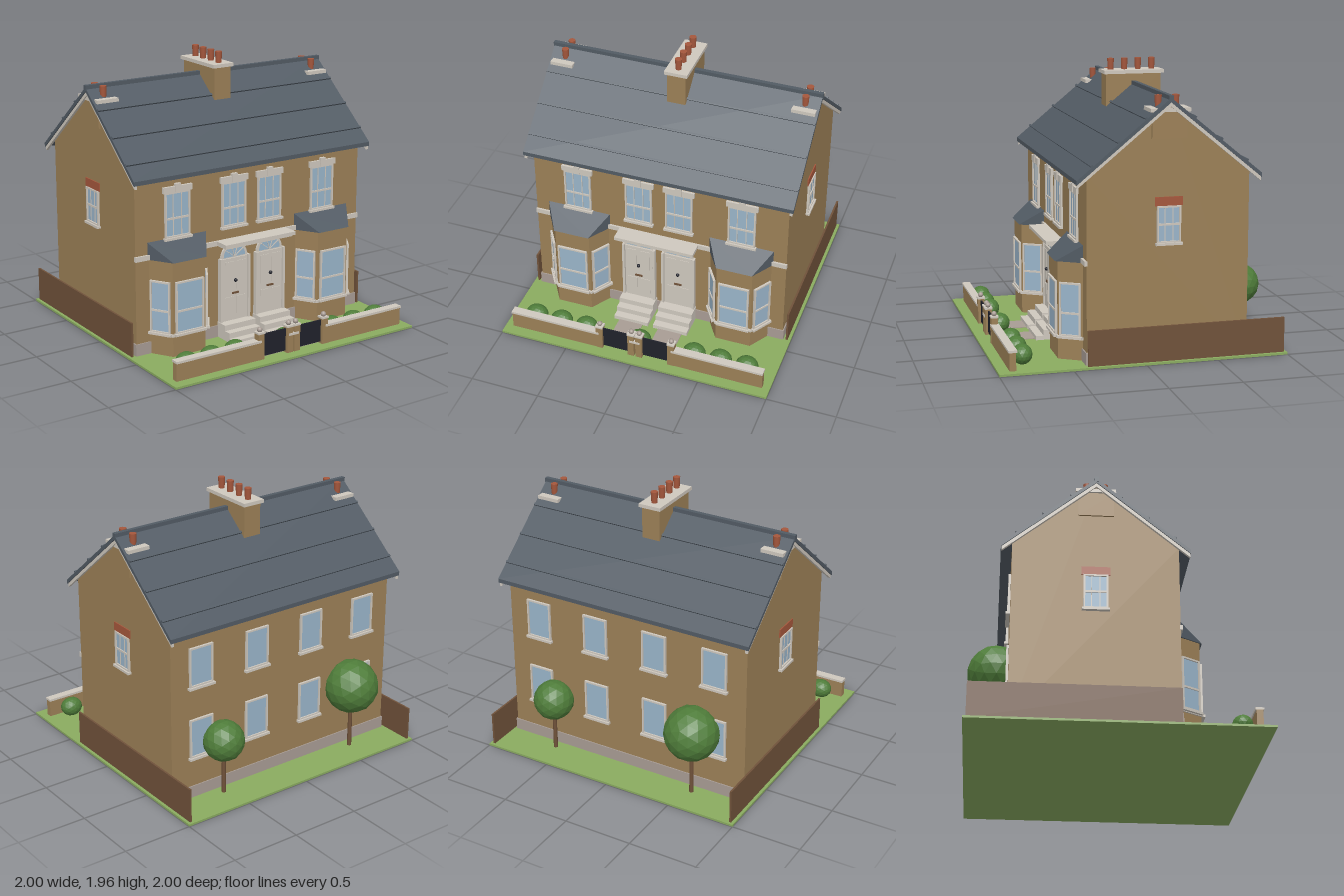
import * as THREE from 'three';
import { ConvexGeometry } from 'three/addons/geometries/ConvexGeometry.js';

const mat = (name, color) => {
  const m = new THREE.MeshStandardMaterial({ color });
  m.name = name;
  return m;
};
const M = {
  brick: mat('brick', 0x9c8057), slate: mat('slate', 0x525b64), stone: mat('stone', 0xcfc8be),
  glass: mat('glass', 0x9ab5ca), grass: mat('grass', 0x8aab60), path: mat('paving', 0xa89c94),
  wood: mat('wood', 0x70523a), leaf: mat('leaf', 0x4f7d3a), clay: mat('terracotta', 0xa5573c),
  iron: mat('iron', 0x20222b),
};
M.leaf.flatShading = true;

const RIDGE_Z = -0.16, RIDGE_Y = 1.79, PITCH = 0.82, EAVE = 0.635;

function add(parent, name, geo, material, x = 0, y = 0, z = 0) {
  const mesh = new THREE.Mesh(geo, material);
  mesh.name = name;
  mesh.position.set(x, y, z);
  parent.add(mesh);
  return mesh;
}

// Box given by its minimum and maximum on each axis
function box(parent, name, material, x0, x1, y0, y1, z0, z1) {
  return add(parent, name, new THREE.BoxGeometry(x1 - x0, y1 - y0, z1 - z0), material,
    (x0 + x1) / 2, (y0 + y1) / 2, (z0 + z1) / 2);
}

const shapeOf = (pts) => new THREE.Shape(pts.map(([a, b]) => new THREE.Vector2(a, b)));
const extrude = (shape, depth) =>
  new THREE.ExtrudeGeometry(shape, { depth, bevelEnabled: false, curveSegments: 16 });

// Side profile (z, y) stretched along x, centred on x
function alongX(parent, name, material, pts, width, x = 0) {
  const geo = extrude(shapeOf(pts), width).translate(0, 0, -width / 2).rotateY(-Math.PI / 2);
  return add(parent, name, geo, material, x);
}

// Inverted V band following both roof slopes
function chevron(top, thick, reach) {
  const drop = reach * PITCH, z = RIDGE_Z;
  return [[z - reach, top - drop], [z - reach, top - drop - thick], [z, top - thick],
    [z + reach, top - drop - thick], [z + reach, top - drop], [z, top]];
}

// Window facing +z with its sill at the origin
function sashWindow(parent, name, w, h, cols, rail, pos, turn = 0) {
  const g = new THREE.Group();
  g.name = name;
  const a = w / 2, b = a - 0.012;
  const frame = shapeOf([[-a, 0], [a, 0], [a, h], [-a, h]]);
  frame.holes.push(shapeOf([[-b, 0.012], [-b, h - 0.012], [b, h - 0.012], [b, 0.012]]));
  add(g, 'frame', extrude(frame, 0.016), M.stone);
  box(g, 'glass', M.glass, -b, b, 0.01, h - 0.01, 0, 0.006);
  for (let i = 1; i < cols; i++) {
    const x = -a + (w * i) / cols;
    box(g, 'glazingBar', M.stone, x - 0.003, x + 0.003, 0.01, h - 0.01, 0, 0.01);
  }
  if (rail) box(g, 'meetingRail', M.stone, -b, b, h * rail - 0.007, h * rail + 0.007, 0, 0.013);
  box(g, 'sill', M.stone, -a - 0.01, a + 0.01, -0.015, 0.002, 0, 0.028);
  g.position.set(...pos);
  g.rotation.y = turn;
  parent.add(g);
  return g;
}

function pot(parent, x, y0, y1, z) {
  add(parent, 'chimneyPot', new THREE.CylinderGeometry(0.025, 0.021, y1 - y0, 12), M.clay, x, (y0 + y1) / 2, z);
}

function bayWindow(parent, cx) {
  const g = new THREE.Group();
  g.name = 'bayWindow';
  g.position.x = cx;
  const layer = (name, material, y0, y1, e) => {
    const pts = [[-0.23 - e, -0.39], [-0.13 - e * 0.6, -0.55 - e], [0.13 + e * 0.6, -0.55 - e], [0.23 + e, -0.39]];
    add(g, name, extrude(shapeOf(pts), y1 - y0).rotateX(-Math.PI / 2), material, 0, y0);
  };
  layer('bayWall', M.brick, 0.015, 0.69, 0);
  layer('baySill', M.stone, 0.16, 0.178, 0.012);
  // Sloping slate cap, wider at the wall than at the front
  const cap = [[0.235, 0.81, 0.4], [0.235, 0.69, 0.4], [0.13, 0.69, 0.567]]
    .flatMap(([x, y, z]) => [new THREE.Vector3(x, y, z), new THREE.Vector3(-x, y, z)]);
  add(g, 'bayRoof', new ConvexGeometry(cap), M.slate);
  sashWindow(g, 'bayFrontWindow', 0.225, 0.37, 1, 0.43, [0, 0.18, 0.55]);
  for (const s of [-1, 1])
    sashWindow(g, 'baySideWindow', 0.15, 0.37, 1, 0.43, [s * 0.18, 0.18, 0.475], s * Math.atan2(0.16, 0.1));
  parent.add(g);
}

function entrance(parent, cx) {
  const g = new THREE.Group();
  g.name = 'entrance';
  g.position.x = cx;
  // Surround with an arched head
  const s = new THREE.Shape();
  s.moveTo(-0.125, 0.1);
  s.lineTo(0.125, 0.1);
  s.lineTo(0.125, 0.59);
  s.lineTo(0.115, 0.59);
  s.absarc(0, 0.585, 0.11, 0, Math.PI, false);
  s.lineTo(-0.125, 0.59);
  add(g, 'doorSurround', extrude(s, 0.02), M.stone, 0, 0, 0.395);
  add(g, 'fanlight', new THREE.CircleGeometry(0.09, 16, 0, Math.PI), M.glass, 0, 0.592, 0.417);
  for (let i = 1; i < 5; i++) {
    const bar = new THREE.BoxGeometry(0.09, 0.005, 0.006).translate(0.045, 0, 0);
    add(g, 'fanlightBar', bar, M.stone, 0, 0.592, 0.418).rotation.z = (i * Math.PI) / 5;
  }
  box(g, 'door', M.stone, -0.103, 0.103, 0.125, 0.585, 0.4, 0.425);
  for (const sx of [-1, 1]) {
    box(g, 'pilaster', M.stone, sx * 0.116 - 0.009, sx * 0.116 + 0.009, 0.1, 0.59, 0.4, 0.435);
    for (const [y0, y1] of [[0.17, 0.3], [0.35, 0.56]])
      box(g, 'doorPanel', M.stone, sx * 0.05 - 0.035, sx * 0.05 + 0.035, y0, y1, 0.425, 0.429);
  }
  add(g, 'knocker', new THREE.SphereGeometry(0.013, 10, 8), M.iron, 0, 0.42, 0.433);
  box(g, 'letterSlot', M.wood, -0.027, 0.027, 0.32, 0.333, 0.425, 0.433);
  // Steps and path
  for (let i = 0; i < 3; i++)
    box(g, 'step', M.stone, -0.13, 0.13, 0.01, 0.045 + i * 0.04, 0.39, 0.605 - i * 0.055);
  box(g, 'path', M.path, -0.09, 0.09, 0.014, 0.02, 0.6, 0.88);
  box(g, 'gate', M.iron, -0.095, 0.095, 0.03, 0.19, 0.895, 0.905);
  parent.add(g);
}

function gatePier(parent, x) {
  box(parent, 'gatePier', M.brick, x - 0.024, x + 0.024, 0.01, 0.2, 0.876, 0.924);
  box(parent, 'pierCap', M.stone, x - 0.028, x + 0.028, 0.2, 0.213, 0.872, 0.928);
  add(parent, 'pierBall', new THREE.SphereGeometry(0.019, 12, 8), M.path, x, 0.227, 0.9);
}

function tree(parent, x, y, z, r) {
  add(parent, 'treeTrunk', new THREE.CylinderGeometry(0.013, 0.016, y, 8), M.wood, x, y / 2 + 0.005, z);
  add(parent, 'treeCrown', new THREE.IcosahedronGeometry(r, 2), M.leaf, x, y, z);
}

export function createModel() {
  const house = new THREE.Group();
  house.name = 'house';
  box(house, 'lawn', M.grass, -1, 1, 0, 0.015, -1, 1);

  // Walls with gables, and a low plinth
  const wallTop = RIDGE_Y - 0.03, eaveTop = wallTop - 0.56 * PITCH;
  alongX(house, 'walls', M.brick,
    [[-0.72, 0.01], [0.4, 0.01], [0.4, eaveTop], [RIDGE_Z, wallTop], [-0.72, eaveTop]], 1.88);
  box(house, 'plinth', M.path, -0.948, 0.948, 0.01, 0.1, -0.728, 0.408);
  box(house, 'bandCourse', M.stone, -0.945, 0.945, 0.69, 0.725, 0.395, 0.415);

  // Roof, bargeboards, slate courses and ridge
  alongX(house, 'roof', M.slate, chevron(RIDGE_Y, 0.03, EAVE), 1.97);
  for (const s of [-1, 1])
    alongX(house, 'bargeboard', M.stone, chevron(RIDGE_Y - 0.026, 0.032, EAVE - 0.004), 0.02, s * 0.968);
  for (const s of [-1, 1])
    for (const d of [0.165, 0.35, 0.53]) {
      const course = add(house, 'slateCourse', new THREE.BoxGeometry(1.965, 0.02, 0.016), M.slate,
        0, RIDGE_Y - d * PITCH + 0.003, RIDGE_Z + s * d);
      course.rotation.x = s * Math.atan(PITCH);
    }
  box(house, 'ridge', M.slate, -0.99, 0.99, 1.77, 1.805, RIDGE_Z - 0.015, RIDGE_Z + 0.015);

  // Chimneys
  box(house, 'mainChimney', M.brick, -0.068, 0.068, 1.5, 1.86, -0.36, 0.04);
  box(house, 'mainChimneyCap', M.stone, -0.084, 0.084, 1.855, 1.88, -0.38, 0.055);
  for (let i = 0; i < 4; i++) pot(house, 0, 1.88, 1.96, -0.01 - i * 0.1);
  for (const s of [-1, 1]) {
    const x = s * 0.885;
    box(house, 'endChimney', M.brick, x - 0.068, x + 0.068, 1.52, 1.7, -0.28, -0.04);
    box(house, 'endChimneyCap', M.stone, x - 0.083, x + 0.083, 1.695, 1.72, -0.3, -0.025);
    for (const z of [-0.1, -0.22]) pot(house, s * 0.88, 1.72, 1.8, z);
  }

  // Upper front windows with lintels and keystones
  for (const x of [-0.61, -0.15, 0.15, 0.61]) {
    const w = sashWindow(house, 'upperWindow', 0.2, 0.32, 3, 0.42, [x, 0.815, 0.4]);
    box(w, 'lintel', M.stone, -0.115, 0.115, 0.318, 0.36, 0, 0.018);
    box(w, 'keystone', M.stone, -0.022, 0.022, 0.316, 0.378, 0, 0.024);
  }
  // Rear windows
  for (const x of [-0.7, -0.235, 0.235, 0.7])
    for (const y of [0.32, 0.845])
      sashWindow(house, 'rearWindow', 0.19, 0.285, 1, 0, [x, y, -0.72], Math.PI);
  // Gable windows, fences, bays and entrances
  for (const s of [-1, 1]) {
    const w = sashWindow(house, 'gableWindow', 0.165, 0.25, 3, 0.5, [s * 0.94, 0.82, RIDGE_Z], s * Math.PI / 2);
    box(w, 'brickLintel', M.clay, -0.096, 0.096, 0.25, 0.31, 0, 0.008);
    box(house, 'fence', M.wood, s * 0.972 - 0.007, s * 0.972 + 0.007, 0.01, 0.26, -0.98, 0.4);
    bayWindow(house, s * 0.61);
    entrance(house, s * 0.15);
  }
  box(house, 'canopy', M.stone, -0.295, 0.295, 0.7, 0.725, 0.39, 0.53);
  box(house, 'canopyMoulding', M.stone, -0.28, 0.28, 0.685, 0.7, 0.39, 0.505);

  // Front garden wall and piers
  for (const s of [-1, 1]) {
    const cx = s * 0.61;
    box(house, 'gardenWall', M.brick, cx - 0.335, cx + 0.335, 0.01, 0.142, 0.878, 0.922);
    box(house, 'coping', M.stone, cx - 0.338, cx + 0.338, 0.14, 0.156, 0.87, 0.929);
    gatePier(house, s * 0.27);
    gatePier(house, s * 0.03);
  }
  box(house, 'centreCoping', M.stone, -0.04, 0.04, 0.14, 0.156, 0.87, 0.929);

  // Planting
  for (const x of [-0.8, -0.605, -0.41, 0, 0.41, 0.605, 0.8])
    add(house, 'bush', new THREE.IcosahedronGeometry(0.07, 2), M.leaf, x, 0.085, 0.81).scale.x = 1.18;
  tree(house, -0.57, 0.49, -0.795, 0.195);
  tree(house, 0.56, 0.41, -0.79, 0.145);
  return house;
}
